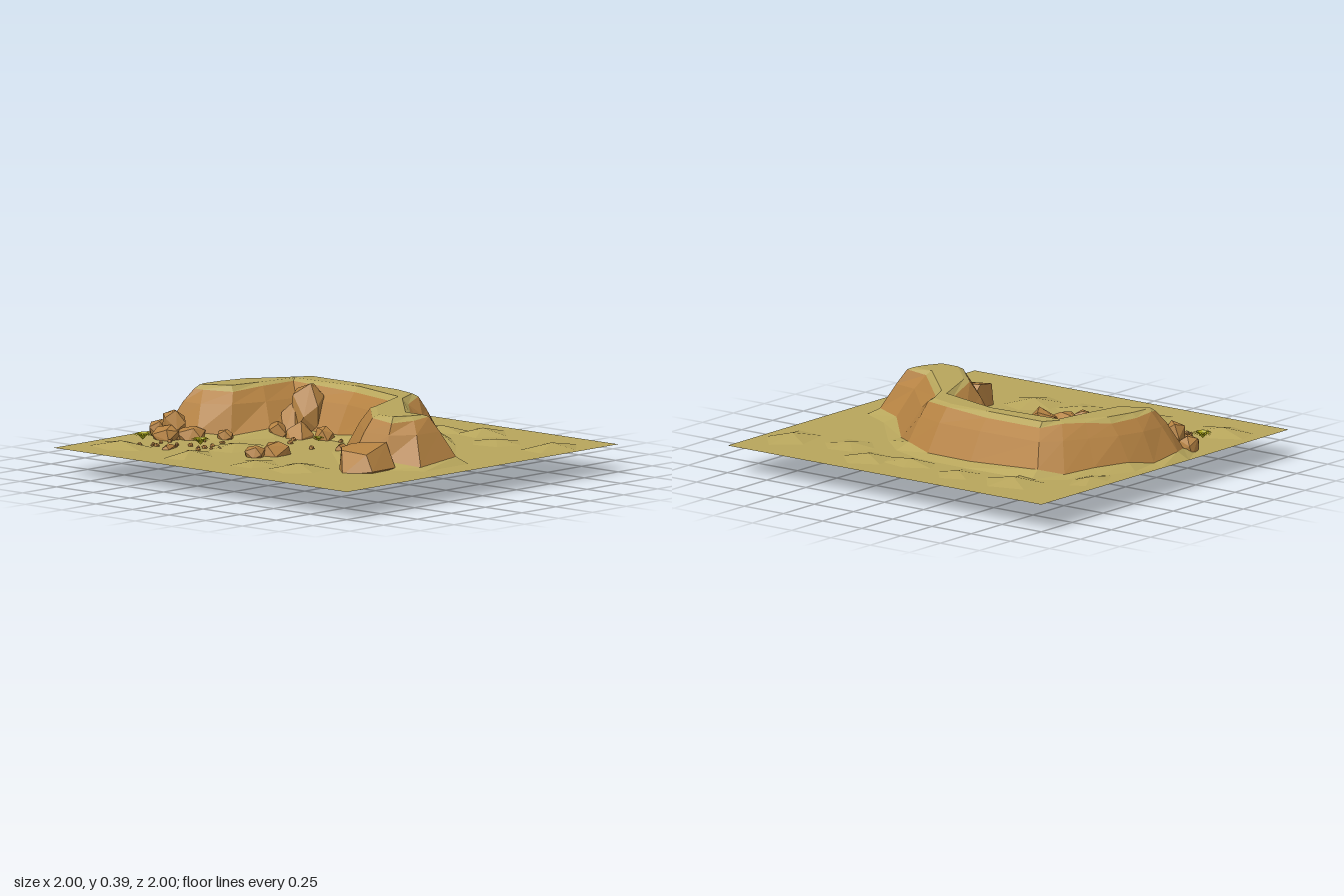
import * as THREE from 'three';
import { ConvexGeometry } from 'three/addons/geometries/ConvexGeometry.js';

const material = (color) =>
  new THREE.MeshStandardMaterial({ color, flatShading: true, side: THREE.DoubleSide });
const sand = material(0xb8a65c);
const rockMat = material(0xb58242);
const leaf = material(0xb4b018);
const GROUND = 0.15;

let seed = 11;
const rand = () => (seed = (seed * 16807) % 2147483647) / 2147483647;

// Crescent cliff outline, clockwise from above: foot x, z and rim x, z
const OUTLINE = [
  [-0.29, -0.89, -0.18, -0.8], [-0.18, -0.94, -0.12, -0.82], [0, -0.93, -0.01, -0.81],
  [0.14, -0.88, 0.14, -0.77], [0.32, -0.8, 0.25, -0.69], [0.47, -0.73, 0.35, -0.62],
  [0.56, -0.63, 0.44, -0.55], [0.57, -0.21, 0.44, -0.21], [0.56, 0.07, 0.43, 0.05],
  [0.5, 0.24, 0.38, 0.21], [0.37, 0.39, 0.23, 0.28], [0.09, 0.64, -0.06, 0.57],
  [0.02, 0.8, -0.06, 0.69], [-0.24, 0.8, -0.16, 0.68], [-0.33, 0.64, -0.26, 0.62],
  [-0.37, 0.45, -0.26, 0.49], [-0.1, 0.15, -0.06, 0.29], [0.14, 0.02, 0.22, 0.18],
  [0.18, -0.16, 0.31, -0.16], [0.17, -0.4, 0.29, -0.56], [0, -0.45, 0.09, -0.58],
  [-0.18, -0.55, -0.09, -0.62], [-0.3, -0.67, -0.17, -0.75],
];

// Move each corner of a loop outward in the ground plane
function offset(loop, amount, y) {
  const n = loop.length;
  return loop.map((p, i) => {
    const a = loop[(i + n - 1) % n], b = loop[(i + 1) % n];
    const out = new THREE.Vector3(b.z - a.z, 0, a.x - b.x).normalize();
    const q = p.clone().addScaledVector(out, amount);
    q.y = y;
    return q;
  });
}

// Band of quads between successive closed rings, listed from low to high
function band(rings) {
  const n = rings[0].length, index = [];
  for (let r = 0; r < rings.length - 1; r++)
    for (let i = 0; i < n; i++) {
      const a = r * n + i, b = r * n + (i + 1) % n;
      index.push(a, a + n, b, b, a + n, b + n);
    }
  const g = new THREE.BufferGeometry().setFromPoints(rings.flat());
  g.setIndex(index);
  g.computeVertexNormals();
  return g;
}

// Boulder: convex hull of jittered points on a squarish ellipsoid
function boulderGeometry(sx, sy, sz) {
  const pts = [];
  for (let i = 0; i < 14; i++) {
    const v = 1 - (2 * (i + 0.5)) / 14, a = i * 2.4 + rand() * 0.7;
    const r = Math.sqrt(1 - v * v);
    const p = new THREE.Vector3(r * Math.cos(a), v, r * Math.sin(a));
    const m = Math.max(Math.abs(p.x), Math.abs(p.y), Math.abs(p.z));
    p.multiplyScalar(0.5 + 0.5 / m).clampScalar(-1, 1);
    pts.push(p.multiply(new THREE.Vector3(sx, sy, sz)));
  }
  return new ConvexGeometry(pts);
}

// Tuft: thin blades arching out from one root
function tuftGeometry(radius, blades) {
  const pts = [];
  for (let i = 0; i < blades; i++) {
    const a = (i / blades) * Math.PI * 2, len = radius * (0.8 + 0.2 * rand());
    const at = (r, y, w) => new THREE.Vector3(
      r * Math.cos(a) - w * Math.sin(a), y, r * Math.sin(a) + w * Math.cos(a));
    const w = radius * 0.1;
    const l = at(len * 0.55, radius * 0.6, w), r = at(len * 0.55, radius * 0.6, -w);
    pts.push(at(0, 0, 0), l, r, l, at(len, radius * 0.4, 0), r);
  }
  const g = new THREE.BufferGeometry().setFromPoints(pts);
  g.computeVertexNormals();
  return g;
}

export function createModel() {
  const model = new THREE.Group();
  const add = (name, geometry, mat, x = 0, y = 0, z = 0) => {
    const mesh = new THREE.Mesh(geometry, mat);
    mesh.name = name;
    mesh.position.set(x, y, z);
    model.add(mesh);
    return mesh;
  };

  // Cliff rings from the sandy skirt up to the plateau
  const foot = OUTLINE.map(([x, z], i) => new THREE.Vector3(x, 0.175 + 0.015 * Math.sin(i * 2.3), z));
  const rim = OUTLINE.map(([, , x, z], i) => new THREE.Vector3(x, 0.375 + 0.01 * Math.sin(i * 1.7), z));
  const waist = foot.map((p, i) => p.clone().lerp(rim[i], 0.6).setY(0.31));
  const skirt = offset(foot, 0.065, GROUND);
  const crown = offset(rim, -0.03, 0.395);
  add('cliffSkirt', band([skirt, foot]), sand);
  add('cliffWall', band([foot, waist, rim]), rockMat);
  add('plateauEdge', band([rim, crown]), sand);

  // Plateau surface
  const flat = (p) => new THREE.Vector2(p.x, -p.z);
  const plateau = new THREE.ShapeGeometry(new THREE.Shape(crown.map(flat)));
  add('plateau', plateau.rotateX(-Math.PI / 2), sand, 0, 0.395, 0);

  // Ground sheet, open beneath the cliff
  const square = new THREE.Shape([[-1, -1], [1, -1], [1, 1], [-1, 1]].map((p) => new THREE.Vector2(...p)));
  square.holes.push(new THREE.Path(skirt.map(flat)));
  add('ground', new THREE.ShapeGeometry(square).rotateX(-Math.PI / 2), sand, 0, GROUND, 0);

  // Low mounds and shallow dips: x, z, x radius, z radius, height
  [
    [0.72, -0.6, 0.15, 0.17, 0.03], [0.45, -0.88, 0.15, 0.08, 0.02], [0.76, -0.28, 0.12, 0.12, 0.02],
    [0.72, 0.06, 0.1, 0.16, 0.025], [0.78, 0.28, 0.14, 0.14, 0.03], [0.62, 0.52, 0.13, 0.14, 0.02],
    [0.68, 0.84, 0.18, 0.13, 0.03], [-0.64, 0.34, 0.16, 0.15, 0.03], [-0.68, 0.08, 0.14, 0.12, 0.02],
    [-0.38, -0.33, 0.17, 0.14, 0.025], [-0.72, -0.33, 0.16, 0.1, 0.03], [-0.74, -0.78, 0.13, 0.18, 0.03],
    [0.82, -0.45, 0.1, 0.1, -0.02], [0.5, 0.68, 0.12, 0.1, -0.015],
  ].forEach(([x, z, rx, rz, h], i) => {
    const g = new THREE.CylinderGeometry(0, 1, 1, 5 + (i % 2), 1, true).translate(0, 0.5, 0);
    g.rotateY(i * 1.3).scale(rx, h, rz);
    add(h > 0 ? 'mound' : 'dip', g, sand, x, GROUND, z);
  });

  // Large block at the front tip of the cliff
  const block = [
    [-0.59, 0.14, 0.59], [-0.52, 0.25, 0.52], [-0.49, 0.26, 0.49], [-0.4, 0.27, 0.49],
    [-0.32, 0.28, 0.64], [-0.5, 0.24, 0.67], [-0.51, 0.16, 0.72], [-0.33, 0.16, 0.71],
    [-0.25, 0.12, 0.62], [-0.42, 0.04, 0.55], [-0.27, 0.04, 0.54], [-0.24, 0.1, 0.5], [-0.5, 0.1, 0.48],
  ];
  add('tipBlock', new ConvexGeometry(block.map((p) => new THREE.Vector3(...p))), rockMat);

  // Boulders: x, y, z, half sizes, turn about y, lean about z
  [
    [-0.51, 0.16, -0.08, 0.05, 0.045, 0.05, 0.4, 0], [-0.4, 0.15, -0.05, 0.08, 0.065, 0.07, 0, 0.1],
    [-0.35, 0.17, -0.88, 0.055, 0.06, 0.05, 0.5, 0], [-0.41, 0.16, -0.77, 0.07, 0.06, 0.07, 0.2, 0.2],
    [-0.34, 0.21, -0.79, 0.06, 0.08, 0.06, 0.9, -0.2], [-0.33, 0.16, -0.68, 0.06, 0.055, 0.07, 0.3, 0],
    [-0.22, 0.16, -0.55, 0.035, 0.04, 0.04, 0.5, 0], [-0.62, 0.15, -0.57, 0.06, 0.02, 0.03, 0.3, 0],
    [0.05, 0.12, -0.31, 0.06, 0.12, 0.07, 0.2, -0.55], [0.14, 0.17, -0.43, 0.07, 0.16, 0.06, 0.1, -0.4],
    [0.2, 0.27, -0.38, 0.075, 0.14, 0.08, 0.4, -0.3], [0.04, 0.16, -0.44, 0.06, 0.06, 0.05, 0.8, 0],
    [0.12, 0.15, -0.19, 0.05, 0.065, 0.055, 0.2, 0.2], [0.12, 0.16, 0.05, 0.05, 0.05, 0.045, 0.7, -0.2],
    [-0.1, 0.15, 0.13, 0.04, 0.04, 0.03, 0.3, 0], [0.05, 0.15, 0.08, 0.025, 0.03, 0.025, 0, 0],
  ].forEach(([x, y, z, sx, sy, sz, turn, lean]) => {
    add('boulder', boulderGeometry(sx, sy, sz), rockMat, x, y, z).rotation.set(0, turn, lean);
  });

  // Scattered pebbles
  for (let i = 0; i < 30; i++) {
    const s = 0.006 + 0.009 * rand();
    add('pebble', boulderGeometry(s, s, s), rockMat, -0.68 + 0.36 * rand(), GROUND + 0.004, -0.75 + 0.45 * rand());
  }
  [[-0.1, -0.22], [-0.15, -0.03], [0.1, -0.06], [-0.02, -0.27]].forEach(([x, z]) =>
    add('pebble', boulderGeometry(0.014, 0.014, 0.014), rockMat, x, GROUND + 0.004, z));

  // Dry grass tufts
  [[-0.56, -0.8, 0.06], [-0.48, -0.48, 0.06], [0, -0.12, 0.04]].forEach(([x, z, r]) =>
    add('grassTuft', tuftGeometry(r, 18), leaf, x, GROUND + 0.01, z));

  return model;
}
